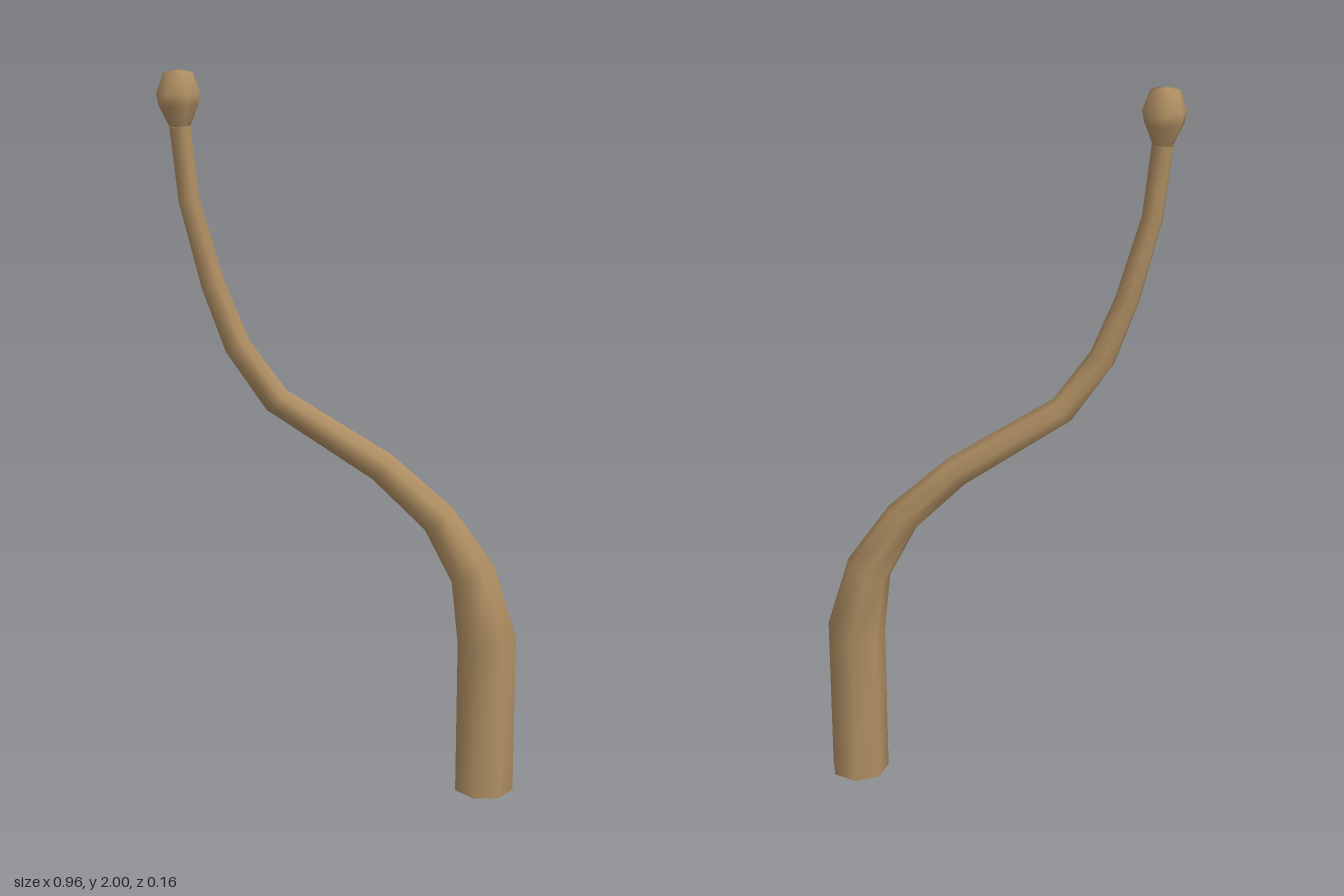
import * as THREE from 'three';

const SIDES = 7;

// Skin of seven-sided rings [x, y, radius], each tilted square to the path in the xy plane
function ringSkin(rings) {
  const pos = [], idx = [];
  const dir = (a, b) => new THREE.Vector2(b[0] - a[0], b[1] - a[1]).normalize();
  rings.forEach((ring, i) => {
    const t = new THREE.Vector2();
    if (i > 0) t.add(dir(rings[i - 1], ring));
    if (i < rings.length - 1) t.add(dir(ring, rings[i + 1]));
    t.normalize();
    const [x, y, r] = ring;
    for (let j = 0; j < SIDES; j++) {
      const a = (j / SIDES) * Math.PI * 2;
      const s = r * Math.sin(a);
      pos.push(x + t.y * s, y - t.x * s, 0.002 - r * Math.cos(a));
      if (i < rings.length - 1) {
        const k = i * SIDES + j, n = i * SIDES + (j + 1) % SIDES;
        idx.push(k, k + SIDES, n, n, k + SIDES, n + SIDES);
      }
    }
  });
  const g = new THREE.BufferGeometry();
  g.setAttribute('position', new THREE.Float32BufferAttribute(pos, 3));
  g.setIndex(idx);
  g.computeVertexNormals();
  return g;
}

export function createModel() {
  const group = new THREE.Group();
  group.name = 'curvedStalk';
  const mat = new THREE.MeshStandardMaterial({ color: 0xb08f63, side: THREE.DoubleSide });
  const add = (name, geometry) => {
    const m = new THREE.Mesh(geometry, mat);
    m.name = name;
    group.add(m);
    return m;
  };

  // Thick upright foot bending over into a thin S-shaped stem
  add('stem', ringSkin([
    [0.397, 0, 0.083], [0.397, 0.448, 0.083], [0.356, 0.64, 0.064],
    [0.26, 0.798, 0.05], [0.105, 0.945, 0.044], [-0.178, 1.132, 0.039],
    [-0.28, 1.28, 0.036], [-0.342, 1.445, 0.032], [-0.4, 1.665, 0.028],
    [-0.42, 1.857, 0.028],
  ]));

  // Bud at the tip
  add('bud', ringSkin([
    [-0.42, 1.857, 0.028], [-0.422, 1.91, 0.052], [-0.422, 1.94, 0.058],
    [-0.422, 1.994, 0.038], [-0.422, 2, 0.001],
  ]));

  // Flat underside
  const cap = add('footCap', new THREE.CircleGeometry(0.083, SIDES, Math.PI / 2));
  cap.rotation.x = Math.PI / 2;
  cap.scale.y = -1;
  cap.position.set(0.397, 0, 0.002);
  // Mirror the winding back so the cap faces down
  cap.geometry.scale(1, -1, 1);
  cap.geometry.rotateZ(0);
  cap.scale.y = 1;
  return group;
}
